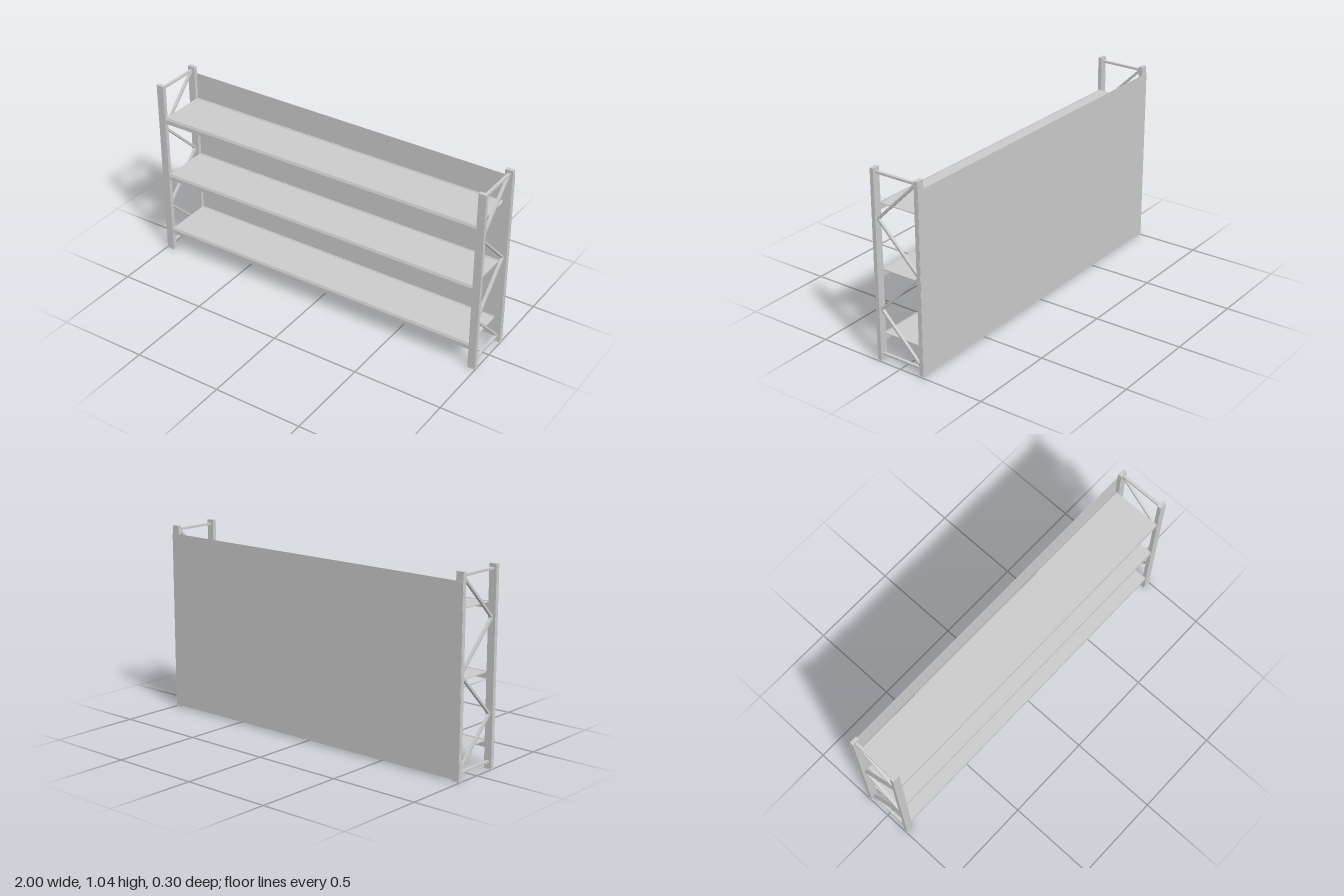
import * as THREE from 'three';

const grey = new THREE.MeshStandardMaterial({ color: 0xcccccc, flatShading: true });

function add(parent, name, geometry, x = 0, y = 0, z = 0) {
  const mesh = new THREE.Mesh(geometry, grey);
  mesh.name = name;
  mesh.position.set(x, y, z);
  parent.add(mesh);
  return mesh;
}

const box = (w, h, d) => new THREE.BoxGeometry(w, h, d);

// Bar between two points in the (z, y) plane at a fixed x
function brace(parent, name, x, [z0, y0], [z1, y1], thick) {
  const length = Math.hypot(z1 - z0, y1 - y0);
  const bar = add(parent, name, box(0.016, thick, length), x, (y0 + y1) / 2, (z0 + z1) / 2);
  bar.rotation.x = -Math.atan2(y1 - y0, z1 - z0);
}

// Upright end frame: two posts on foot plates, joined by zigzag bracing
function endFrame(side) {
  const frame = new THREE.Group();
  frame.name = side > 0 ? 'leftEndFrame' : 'rightEndFrame';
  const x = side * 0.976;
  for (const [label, z] of [['front', 0.135], ['rear', -0.133]]) {
    add(frame, label + 'Post', box(0.043, 1.041, 0.022), x, 0.5245, z);
    add(frame, label + 'Foot', box(0.048, 0.004, 0.026), x, 0.002, z);
  }
  const zig = [[-0.122, 0.042], [0.124, 0.288], [-0.122, 0.534], [0.124, 0.779], [-0.122, 1.022]];
  for (let i = 0; i < zig.length - 1; i++) {
    brace(frame, 'diagonalBrace', x, zig[i], zig[i + 1], 0.012);
  }
  for (const y of [0.038, 1.022]) {
    brace(frame, 'crossBrace', x, [-0.124, y], [0.126, y], 0.011);
  }
  return frame;
}

// Beam section: chamfered outer top edge, shelf ledge on the inside
function beamGeometry() {
  const s = new THREE.Shape();
  s.moveTo(-0.009, 0);
  s.lineTo(0.009, 0);
  s.lineTo(0.009, 0.022);
  s.lineTo(0.003, 0.036);
  s.lineTo(-0.004, 0.036);
  s.lineTo(-0.004, 0.03);
  s.lineTo(-0.009, 0.03);
  s.closePath();
  const g = new THREE.ExtrudeGeometry(s, { depth: 1.91, bevelEnabled: false });
  g.translate(0, 0, -0.955);
  g.rotateY(-Math.PI / 2); // section x becomes z
  return g;
}

// Shelf level: front and rear beams carrying a thin deck
function shelfLevel(top) {
  const level = new THREE.Group();
  level.name = 'shelfLevel';
  add(level, 'frontBeam', beamGeometry(), 0, top - 0.036, 0.133);
  add(level, 'rearBeam', beamGeometry(), 0, top - 0.036, -0.132).rotation.y = Math.PI;
  add(level, 'shelfDeck', box(1.906, 0.004, 0.257), 0, top - 0.004, 0.0005);
  return level;
}

export function createModel() {
  const rack = new THREE.Group();
  rack.name = 'shelvingRack';
  for (const side of [-1, 1]) rack.add(endFrame(side));
  for (const top of [0.145, 0.5, 0.855]) rack.add(shelfLevel(top));
  add(rack, 'backPanel', box(1.996, 0.99, 0.002), 0, 0.505, -0.1465);
  return rack;
}
